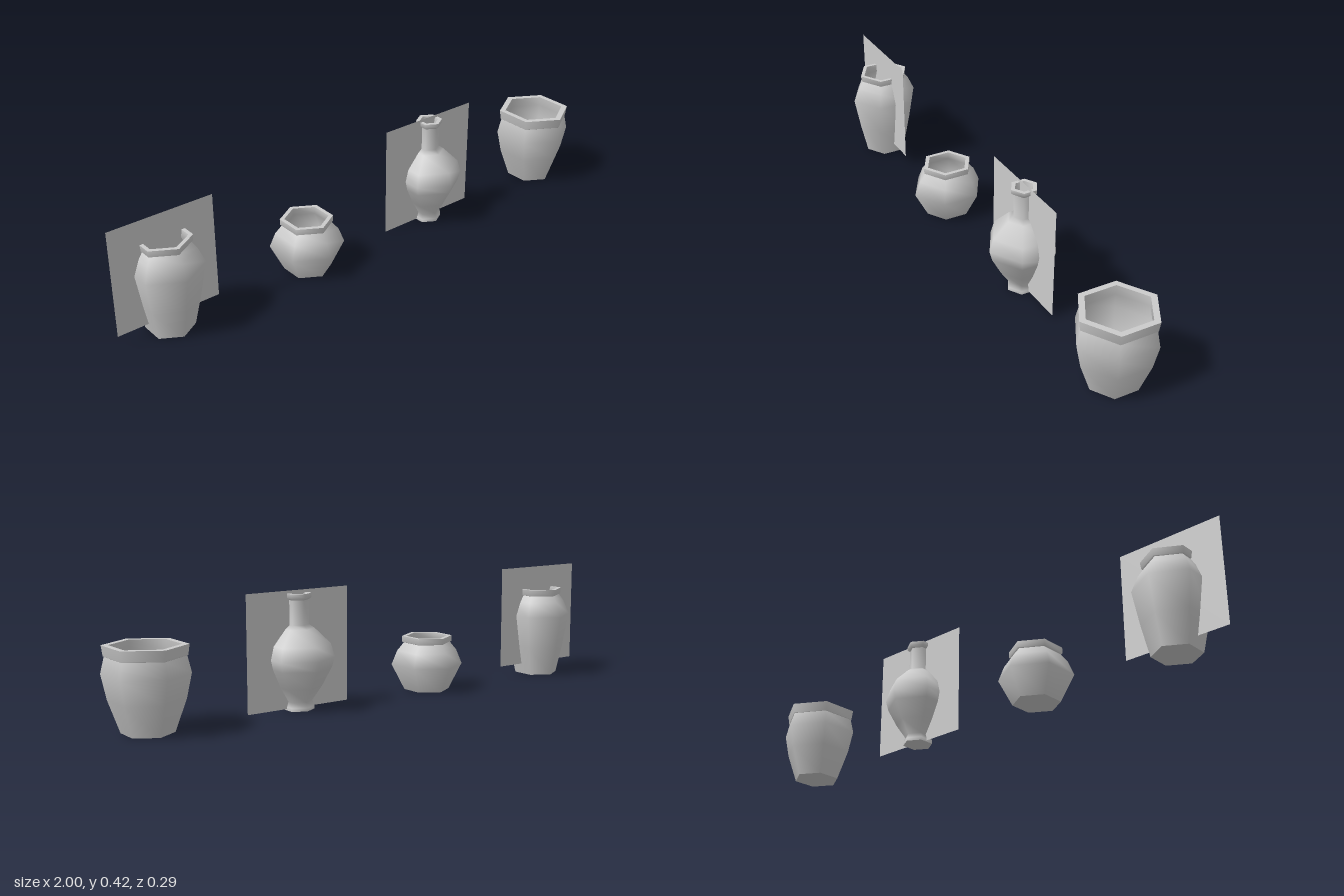
import * as THREE from 'three';

const material = new THREE.MeshStandardMaterial({ color: 0xcccccc, side: THREE.DoubleSide });

// Six-sided turned part from [radius, height] pairs, smooth around, slightly narrow in x
function turned(name, profile) {
  const points = profile.map(([r, y]) => new THREE.Vector2(r, y));
  const geometry = new THREE.LatheGeometry(points, 6);
  geometry.scale(0.975, 1, 1);
  const mesh = new THREE.Mesh(geometry, material);
  mesh.name = name;
  return mesh;
}

// A pot: separate profiles keep the foot and rim edges crisp
function pot(name, x, { body, rim, inside }) {
  const group = new THREE.Group();
  group.name = name;
  group.position.x = x;
  group.add(
    turned('base', [[0, 0], body[0]]),
    turned('body', body),
    turned('rim', [body[body.length - 1], ...rim]),
    turned('lip', [rim[rim.length - 1], inside[0]]),
    turned('inside', inside)
  );
  return group;
}

// Upright sheet standing through a pot
function panel(name, x0, x1, y0, y1) {
  const mesh = new THREE.Mesh(new THREE.PlaneGeometry(x1 - x0, y1 - y0), material);
  mesh.name = name;
  mesh.position.set((x0 + x1) / 2, (y0 + y1) / 2, 0);
  return mesh;
}

export function createModel() {
  const model = new THREE.Group();
  model.name = 'potterySet';

  model.add(pot('tallJar', -0.81, {
    body: [[0.083, 0], [0.108, 0.11], [0.131, 0.232], [0.107, 0.285], [0.088, 0.31]],
    rim: [[0.094, 0.312], [0.097, 0.335]],
    inside: [[0.082, 0.335], [0.078, 0.308], [0.118, 0.23], [0.073, 0.012], [0, 0.012]],
  }));

  model.add(pot('roundPot', -0.25, {
    body: [[0.084, 0], [0.133, 0.094], [0.112, 0.145], [0.087, 0.175]],
    rim: [[0.094, 0.178], [0.094, 0.199]],
    inside: [[0.078, 0.199], [0.076, 0.174], [0.12, 0.094], [0.074, 0.012], [0, 0.012]],
  }));

  model.add(pot('bottle', 0.314, {
    body: [[0.055, 0], [0.055, 0.012], [0.048, 0.03], [0.083, 0.08], [0.118, 0.145], [0.128, 0.18],
      [0.114, 0.226], [0.058, 0.28], [0.039, 0.293], [0.039, 0.378]],
    rim: [[0.049, 0.386], [0.049, 0.4]],
    inside: [[0.034, 0.4], [0.03, 0.378], [0.03, 0.288], [0.102, 0.222], [0.116, 0.18], [0.04, 0.035], [0, 0.035]],
  }));

  model.add(pot('widePot', 0.877, {
    body: [[0.087, 0], [0.126, 0.107], [0.144, 0.19], [0.131, 0.244]],
    rim: [[0.134, 0.246], [0.139, 0.281]],
    inside: [[0.116, 0.281], [0.117, 0.246], [0.131, 0.19], [0.112, 0.107], [0.077, 0.012], [0, 0.012]],
  }));

  model.add(panel('jarPanel', -1, -0.62, 0.04, 0.42));
  model.add(panel('bottlePanel', 0.11, 0.515, 0.005, 0.41));

  return model;
}
